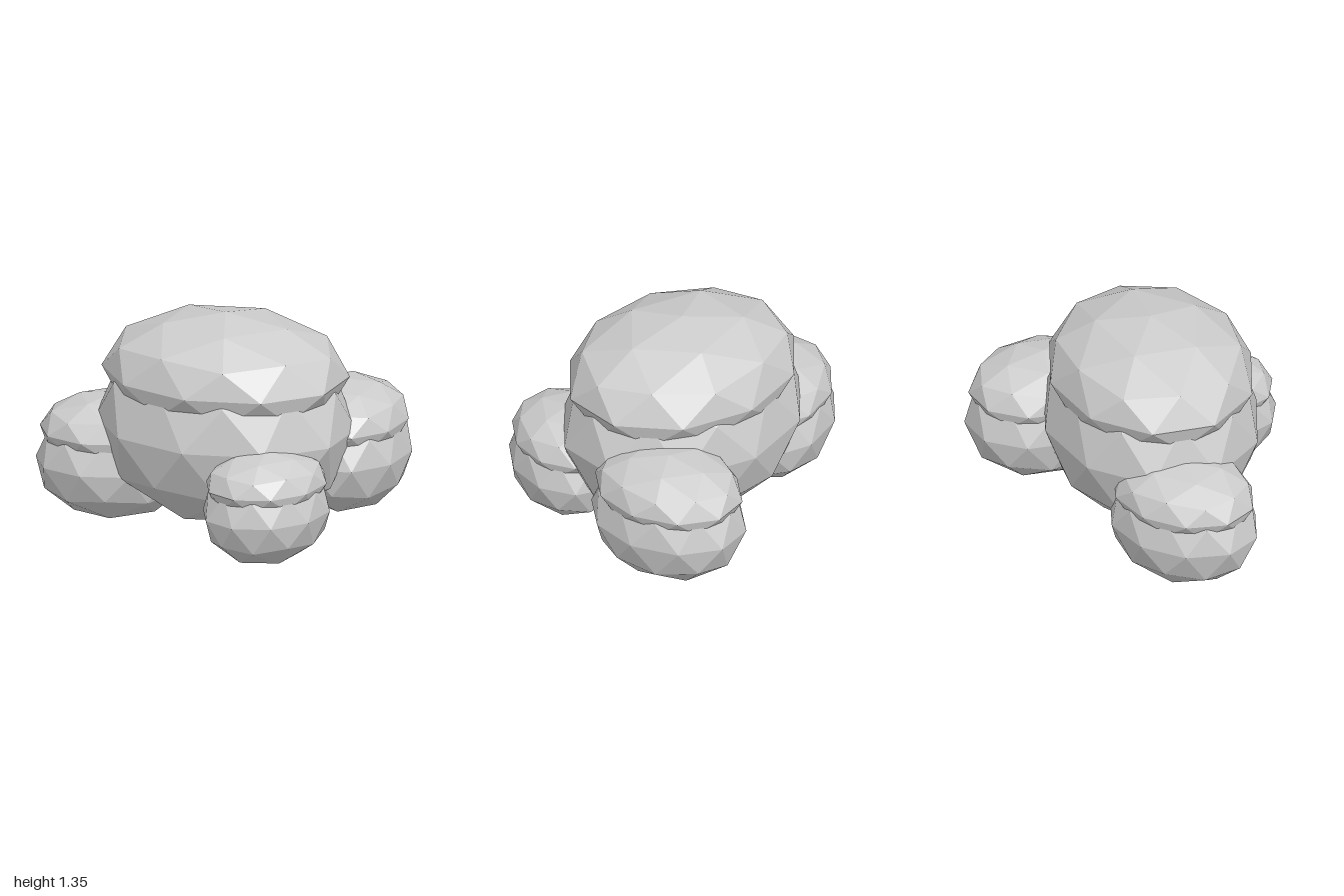
import * as THREE from 'three';

// Faceted ball with a corner at each pole
function facetedBall() {
  const t = (1 + Math.sqrt(5)) / 2;
  const geo = new THREE.IcosahedronGeometry(1, 1);
  geo.rotateZ(-Math.atan2(1, t));
  return geo;
}

export function createModel() {
  const model = new THREE.Group();
  model.name = 'boulderCluster';

  const stone = new THREE.MeshStandardMaterial({ color: 0xcccccc, flatShading: true });
  stone.name = 'stone grey';

  // Centre and radii of each boulder
  const boulders = [
    { name: 'mainBoulder', pos: [0.11, 0.67, 0.14], r: [0.785, 0.6, 0.64] },
    { name: 'rightBoulder', pos: [-0.57, 0.365, 0.28], r: [0.48, 0.36, 0.39] },
    { name: 'frontLeftBoulder', pos: [0.66, 0.338, 0.51], r: [0.415, 0.32, 0.345] },
    { name: 'backLeftBoulder', pos: [0.55, 0.445, -0.45], r: [0.49, 0.37, 0.396] },
  ];

  boulders.forEach(({ name, pos, r: [rx, ry, rz] }, i) => {
    const boulder = new THREE.Group();
    boulder.name = name;
    boulder.position.set(...pos);
    boulder.rotation.y = 0.2 + 0.6 * i;

    const body = new THREE.Mesh(facetedBall().scale(rx, ry, rz), stone);
    body.name = 'boulderBody';

    // Flattened cap resting over the top of the body
    const cap = new THREE.Mesh(facetedBall().scale(rx * 0.95, ry * 0.6, rz * 0.95), stone);
    cap.name = 'boulderCap';
    cap.position.y = ry * 0.535;

    boulder.add(body, cap);
    model.add(boulder);
  });

  return model;
}
